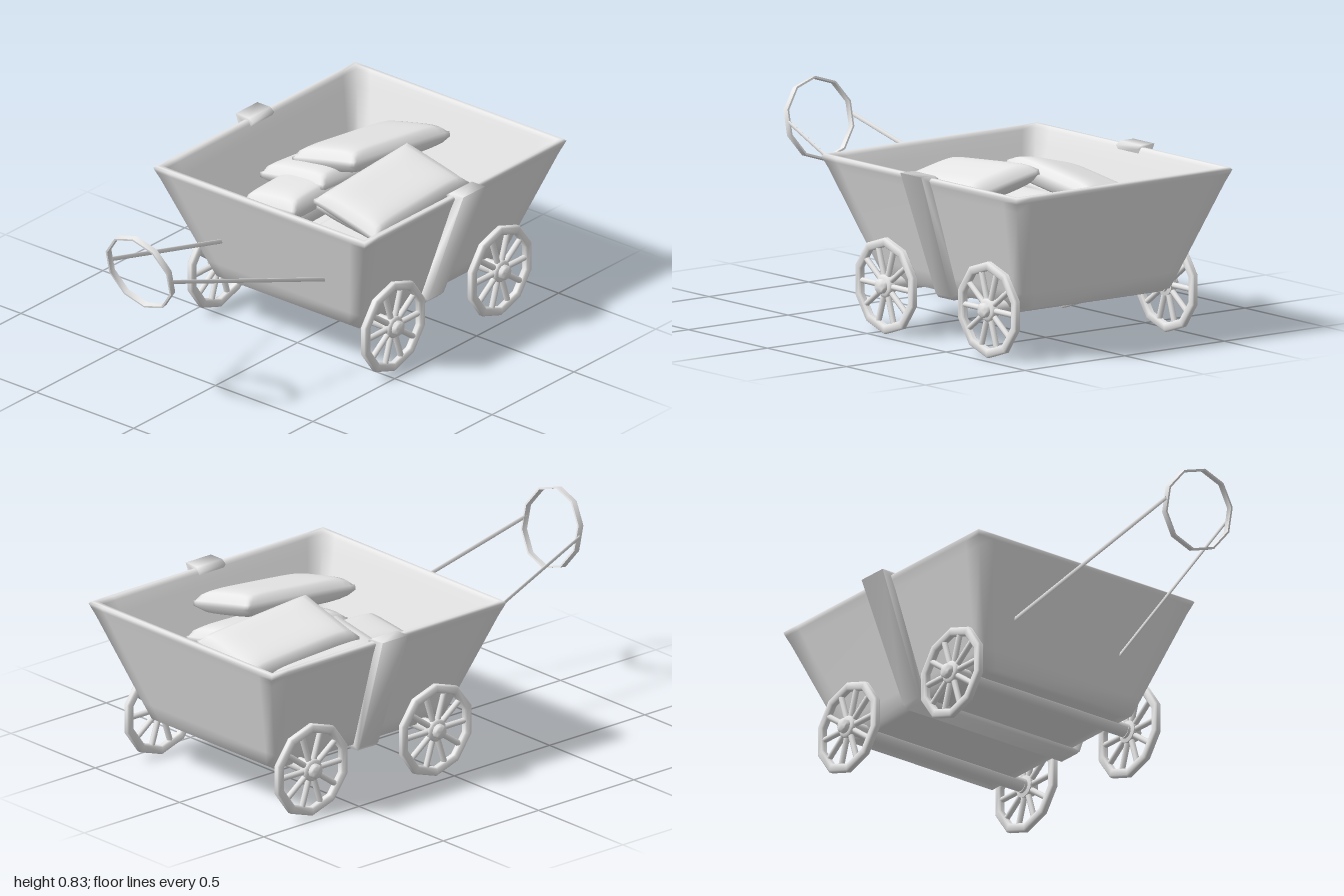
import * as THREE from 'three';
import { mergeVertices, toCreasedNormals } from 'three/addons/utils/BufferGeometryUtils.js';

const grey = new THREE.MeshStandardMaterial({ color: 0xe7e7e7 });
grey.name = 'plain grey';

function add(parent, name, geometry) {
  const mesh = new THREE.Mesh(geometry, grey);
  mesh.name = name;
  parent.add(mesh);
  return mesh;
}

// Round bar between two points
function bar(parent, name, a, b, radius, sides = 8) {
  const dir = b.clone().sub(a);
  const mesh = add(parent, name, new THREE.CylinderGeometry(radius, radius, dir.length(), sides));
  mesh.position.copy(a).add(b).multiplyScalar(0.5);
  mesh.quaternion.setFromUnitVectors(new THREE.Vector3(0, 1, 0), dir.normalize());
  return mesh;
}

// Open tapered box: rectangles [y, half x, half z] joined from the underside, over the rim, to the floor.
// Extra loops beside the edges keep the panels flat and the edges soft.
function bodyGeometry() {
  const rings = [
    [0.2, 0.01, 0.01], [0.2, 0.4, 0.33], [0.2, 0.44, 0.367], [0.27, 0.466, 0.393], [0.63, 0.596, 0.521],
    [0.665, 0.61, 0.536], [0.682, 0.616, 0.543], [0.69, 0.608, 0.535], [0.69, 0.592, 0.519],
    [0.675, 0.583, 0.51], [0.62, 0.564, 0.49], [0.31, 0.454, 0.38], [0.23, 0.425, 0.352],
    [0.23, 0.37, 0.3], [0.23, 0.01, 0.01],
  ];
  const corners = [[-1, 1], [1, 1], [1, -1], [-1, -1]], stops = [0, 0.07, 0.93];
  const pos = [], idx = [], m = corners.length * stops.length;
  for (const [y, hx, hz] of rings)
    corners.forEach(([ax, az], i) => {
      const [bx, bz] = corners[(i + 1) % 4];
      for (const t of stops) pos.push(0.381 + hx * (ax + (bx - ax) * t), y, hz * (az + (bz - az) * t));
    });
  for (let r = 0; r < rings.length - 1; r++)
    for (let i = 0; i < m; i++) {
      const a = r * m + i, b = r * m + (i + 1) % m;
      idx.push(a, b, b + m, a, b + m, a + m);
    }
  const g = new THREE.BufferGeometry();
  g.setAttribute('position', new THREE.Float32BufferAttribute(pos, 3));
  g.setIndex(idx);
  g.computeVertexNormals();
  return g;
}

// U-shaped band under and around the body, wider towards the top
function strapGeometry() {
  const half = [[0.39, 0.18], [0.405, 0.195], [0.585, 0.7], [0.518, 0.7], [0.497, 0.685], [0.515, 0.655], [0.36, 0.21]];
  const pts = [...half, ...half.map(([z, y]) => [-z, y]).reverse()].map(([z, y]) => new THREE.Vector2(z, y));
  const g = new THREE.ExtrudeGeometry(new THREE.Shape(pts), { depth: 1, bevelEnabled: false });
  g.translate(0, 0, -0.5).rotateY(Math.PI / 2);
  const p = g.attributes.position;
  for (let i = 0; i < p.count; i++) {
    const t = (p.getY(i) - 0.18) / 0.52;
    p.setX(i, 0.363 + 0.021 * t + p.getX(i) * (0.095 + 0.038 * t));
  }
  return toCreasedNormals(g, 1.7);
}

// Cushion: slightly pinched edges, rounded corners and a broad, nearly flat top
function pillowGeometry(w, d, h) {
  const n = 20, box = new THREE.BoxGeometry(2, 2, 2, n, 1, n);
  box.deleteAttribute('normal');
  box.deleteAttribute('uv');
  const g = mergeVertices(box), p = g.attributes.position;
  for (let i = 0; i < p.count; i++) {
    const u = p.getX(i), v = p.getZ(i), s = Math.sign(p.getY(i));
    const puff = Math.pow(Math.max(0, (1 - u ** 6) * (1 - v ** 4)), 0.45);
    const corner = 1 - 0.03 * (u * v) ** 8;
    p.setXYZ(i,
      u * w / 2 * (1 - 0.05 * (1 - v ** 4)) * corner,
      s * (h / 2 * puff + 0.01),
      v * d / 2 * (1 - 0.07 * (1 - u ** 6)) * corner);
  }
  g.computeVertexNormals();
  return g;
}

const lathe = (profile, sides) =>
  new THREE.LatheGeometry(profile.map(([r, y]) => new THREE.Vector2(r, y)), sides);

// Ten-sided wheel facing z, with round spokes and a domed hub
function makeWheel() {
  const wheel = new THREE.Group();
  const rim = lathe([[0.157, -0.008], [0.163, -0.014], [0.187, -0.014], [0.193, -0.008],
    [0.193, 0.008], [0.187, 0.014], [0.163, 0.014], [0.157, 0.008], [0.157, -0.008]], 10);
  add(wheel, 'rim', toCreasedNormals(rim.rotateX(Math.PI / 2), 1));
  for (let i = 0; i < 10; i++) {
    const a = i * Math.PI / 5;
    const dir = new THREE.Vector3(Math.cos(a), Math.sin(a), 0);
    bar(wheel, 'spoke', dir.clone().multiplyScalar(0.03), dir.clone().multiplyScalar(0.163), 0.012);
  }
  const hub = lathe([[0, -0.03], [0.03, -0.03], [0.03, -0.018], [0.046, -0.014], [0.046, 0.012],
    [0.04, 0.017], [0.03, 0.019], [0.029, 0.036], [0.024, 0.04], [0, 0.042]], 16);
  add(wheel, 'hub', toCreasedNormals(hub.rotateX(Math.PI / 2), 1.3));
  return wheel;
}

export function createModel() {
  const model = new THREE.Group();
  model.name = 'cushionWagon';
  const V = (x, y, z) => new THREE.Vector3(x, y, z);

  add(model, 'body', bodyGeometry());
  add(model, 'strap', strapGeometry());

  // Axles and wheels
  for (const x of [0.053, 0.704]) {
    bar(model, 'axle', V(x, 0.195, -0.46), V(x, 0.195, 0.46), 0.029, 16);
    for (const side of [-1, 1]) {
      const wheel = makeWheel();
      wheel.name = 'wheel';
      wheel.position.set(x, 0.193, side * 0.446);
      if (side < 0) wheel.rotation.y = Math.PI;
      model.add(wheel);
    }
  }

  // Pull handle: flat ten-sided hoop on two thin, flattened rods
  const hoopGeo = lathe([[0.159, -0.013], [0.167, -0.013], [0.167, 0.013], [0.159, 0.013], [0.159, -0.013]], 10)
    .rotateY(Math.PI / 2).rotateZ(Math.PI / 2);
  const hoop = add(model, 'handleHoop', toCreasedNormals(hoopGeo, 0.8));
  hoop.position.set(-0.947, 0.662, -0.01);
  hoop.rotation.z = 0.22;
  for (const s of [-1, 1]) {
    const rod = bar(model, 'handleRod', V(-0.95, 0.667, -0.013 + s * 0.157), V(-0.12, 0.402, -0.014 + s * 0.266), 0.009);
    rod.scale.z = 0.45;
  }

  // Cushions: x, y, z, tilt about x, turn about y, tilt about z
  const large = pillowGeometry(0.57, 0.345, 0.09);
  const small = pillowGeometry(0.55, 0.275, 0.09);
  const places = [
    [small, 0.22, 0.43, -0.25, 0, 0, 0.03],
    [small, 0.29, 0.53, -0.17, -0.12, 0, 0.02],
    [large, 0.49, 0.54, -0.2, -0.15, -0.03, -0.08],
    [large, 0.58, 0.607, -0.11, -0.24, -0.03, -0.115],
    [large, 0.215, 0.43, 0.15, 0.08, 0, 0.04],
    [large, 0.44, 0.34, -0.03, 0, -0.03, 0],
    [large, 0.4, 0.53, 0.16, 0.15, 0, 0.03],
    [large, 0.29, 0.622, 0.24, 0.22, -0.01, 0.09],
  ];
  for (const [shape, x, y, z, rx, ry, rz] of places) {
    const mesh = add(model, 'cushion', shape);
    mesh.position.set(x, y, z);
    mesh.rotation.set(rx, ry, rz);
  }
  return model;
}
